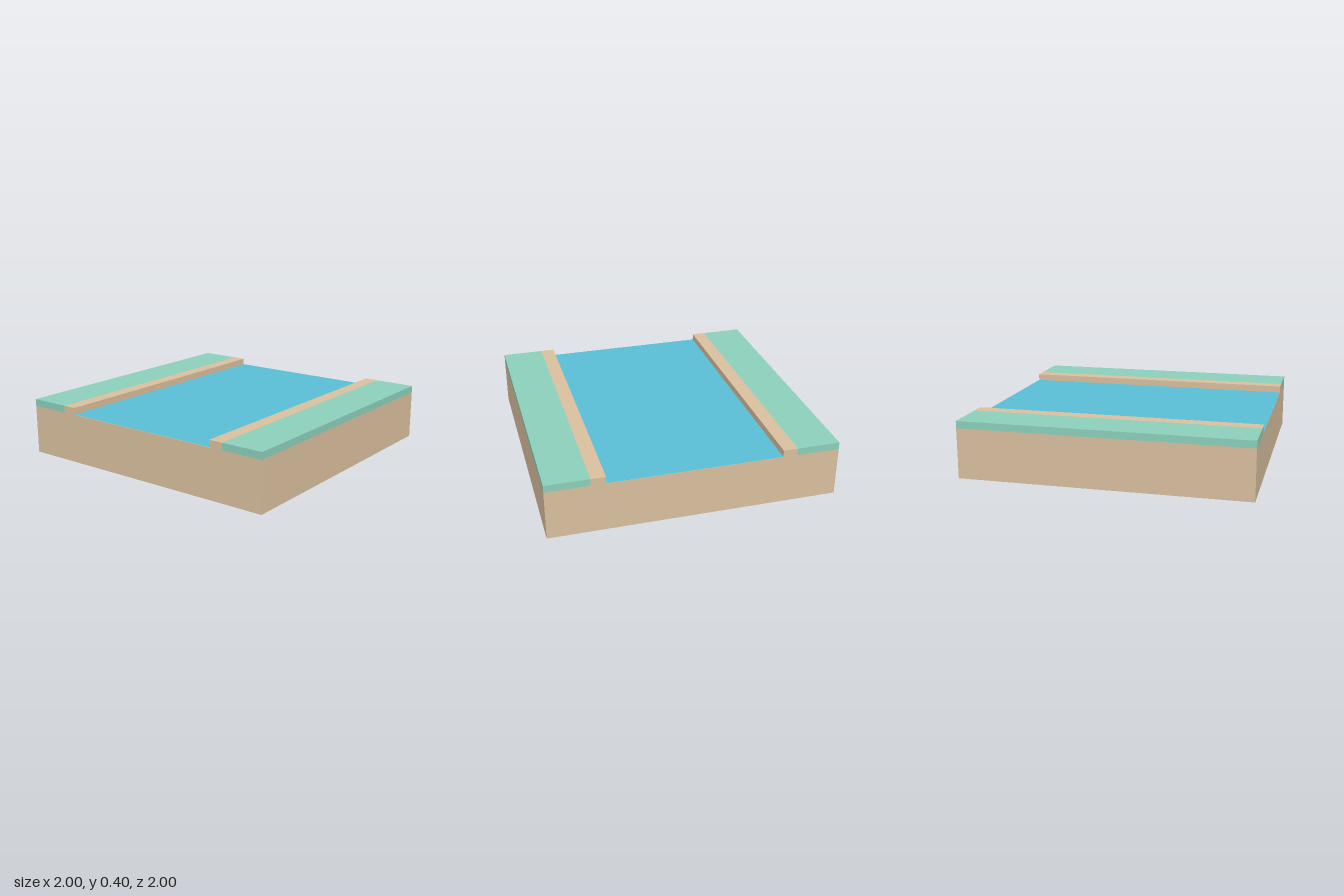
import * as THREE from 'three';

const mat = (name, color) => {
  const m = new THREE.MeshStandardMaterial({ color });
  m.name = name;
  return m;
};

export function createModel() {
  const group = new THREE.Group();
  group.name = 'riverTile';
  const sand = mat('sand', 0xd9bf9e);
  const grass = mat('grass', 0x8ccfbb);
  const water = mat('water', 0x59bed5);

  const add = (name, geometry, material, x, y, z) => {
    const mesh = new THREE.Mesh(geometry, material);
    mesh.name = name;
    mesh.position.set(x, y, z);
    group.add(mesh);
  };

  // Ground: one cross-section with a raised lip on each side of the channel
  const half = [[0.6, 0.35], [0.6, 0.4], [0.7, 0.4], [0.7, 0.35], [1, 0.35], [1, 0]];
  const mirrored = half.map(([z, y]) => [-z, y]).reverse();
  const section = new THREE.Shape([...mirrored, ...half].map(([z, y]) => new THREE.Vector2(z, y)));
  const ground = new THREE.ExtrudeGeometry(section, { depth: 2, bevelEnabled: false });
  ground.translate(0, 0, -1).rotateY(Math.PI / 2);
  add('ground', ground, sand, 0, 0, 0);

  // Grass slabs along the outer edges
  for (const side of [1, -1]) {
    add(side > 0 ? 'frontGrass' : 'backGrass', new THREE.BoxGeometry(2, 0.05, 0.3), grass, 0, 0.375, side * 0.85);
  }

  // Water surface lying in the channel
  add('waterSurface', new THREE.PlaneGeometry(2, 1.2).rotateX(-Math.PI / 2), water, 0, 0.352, 0);

  return group;
}
